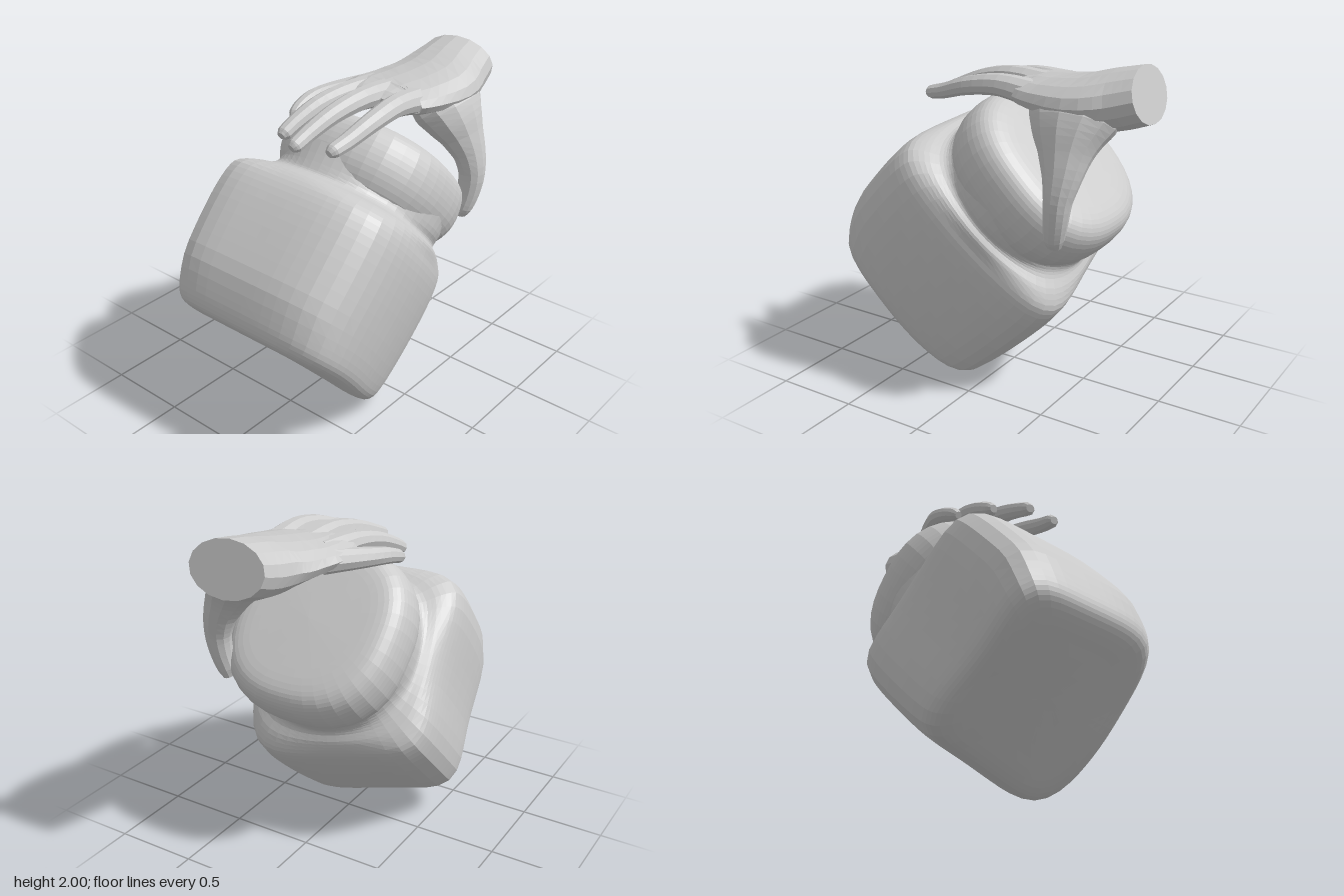
import * as THREE from 'three';

const material = new THREE.MeshStandardMaterial({ color: 0xcccccc, flatShading: true });
const { smoothstep, lerp, degToRad } = THREE.MathUtils;

function addMesh(parent, name, geometry) {
  const mesh = new THREE.Mesh(geometry, material);
  mesh.name = name;
  parent.add(mesh);
  return mesh;
}

// Closed loft through elliptical rings [x, y, z, halfWidth, halfHeight]
function loft(rings, sideHint, sides = 12, steps = 3) {
  const centres = new THREE.CatmullRomCurve3(rings.map(r => new THREE.Vector3(r[0], r[1], r[2])));
  const sizes = new THREE.CatmullRomCurve3(rings.map(r => new THREE.Vector3(r[3], r[4], 0)));
  const count = (rings.length - 1) * steps;
  const pos = [], index = [];
  for (let i = 0; i <= count; i++) {
    const c = centres.getPoint(i / count), s = sizes.getPoint(i / count);
    const tan = centres.getTangent(i / count);
    const side = sideHint.clone().addScaledVector(tan, -sideHint.dot(tan)).normalize();
    const up = new THREE.Vector3().crossVectors(tan, side);
    for (let j = 0; j < sides; j++) {
      const t = (j / sides) * Math.PI * 2;
      const p = c.clone().addScaledVector(side, s.x * Math.cos(t)).addScaledVector(up, s.y * Math.sin(t));
      pos.push(p.x, p.y, p.z);
    }
  }
  for (let i = 0; i < count; i++) {
    for (let j = 0; j < sides; j++) {
      const k = (j + 1) % sides;
      const a = i * sides + j, b = i * sides + k;
      index.push(a, b, a + sides, b, b + sides, a + sides);
    }
  }
  // End caps
  const first = rings[0], last = rings[rings.length - 1];
  const c0 = pos.length / 3;
  pos.push(first[0], first[1], first[2], last[0], last[1], last[2]);
  for (let j = 0; j < sides; j++) {
    const k = (j + 1) % sides;
    index.push(c0, k, j, c0 + 1, count * sides + j, count * sides + k);
  }
  const geometry = new THREE.BufferGeometry();
  geometry.setAttribute('position', new THREE.Float32BufferAttribute(pos, 3));
  geometry.setIndex(index);
  geometry.computeVertexNormals();
  return geometry;
}

// Radius factor that turns a circle into a rounded square
function squared(t, n) {
  return Math.pow(Math.abs(Math.cos(t)) ** n + Math.abs(Math.sin(t)) ** n, -1 / n);
}

// Smooth turned shape from a few profile points, with every vertex moved by a rule
function turned(profile, divisions, segments, rule) {
  const curve = new THREE.SplineCurve(profile.map(p => new THREE.Vector2(...p)));
  const points = curve.getPoints(divisions).map(p => new THREE.Vector2(Math.max(0, p.x), p.y));
  const geometry = new THREE.LatheGeometry(points, segments);
  const p = geometry.attributes.position;
  for (let i = 0; i < p.count; i++) p.setXYZ(i, ...rule(p.getX(i), p.getY(i), p.getZ(i)));
  geometry.computeVertexNormals();
  return geometry;
}

// Soft box: twisted on its lower side, bulging above, base slanted, neck filled out towards the front
function jarRule(x, y, z) {
  const angle = Math.atan2(z, x);
  const neck = smoothstep(y, 0.72, 0.9);
  const f = lerp(squared(angle + degToRad(9 + 7 * Math.cos(angle)), 5), 1.02, neck);
  const bulge = x < 0 ? 1 + 0.15 * smoothstep(y, -0.16, 0.2) : 1;
  const fill = z > 0 ? 1 + 0.13 * neck : 1;
  const slant = 0.1 * z * smoothstep(x, -0.3, 0.5) * (1 - smoothstep(y, -0.1, 0.7));
  return [x * f * bulge, y - slant, z * f * fill];
}

function lidRule(x, y, z) {
  const f = squared(Math.atan2(z, x), 2.5);
  return [x * f, y, z * f];
}

export function createModel() {
  const model = new THREE.Group();
  model.name = 'handOnJar';

  // Tilted jar: square body and round lid on one axis
  const jar = new THREE.Group();
  jar.name = 'jar';
  jar.position.set(-0.5, 0.5, 0);
  jar.rotation.z = -Math.PI / 4;
  model.add(jar);
  addMesh(jar, 'jarBody', turned([
    [0, -0.13], [0.3, -0.13], [0.47, -0.125], [0.545, -0.085], [0.575, 0.03], [0.595, 0.3],
    [0.6, 0.56], [0.585, 0.71], [0.545, 0.79], [0.49, 0.83], [0.48, 0.88], [0.49, 1.02],
  ], 40, 56, jarRule));
  const lid = addMesh(jar, 'lid', turned([
    [0, 0.83], [0.4, 0.83], [0.48, 0.87], [0.53, 0.97], [0.54, 1.08],
    [0.52, 1.18], [0.475, 1.235], [0.4, 1.26], [0.25, 1.268], [0, 1.275],
  ], 28, 40, lidRule));
  lid.position.set(-0.025, 0, 0.03);

  // Hand reaching over the lid from the left
  const hand = new THREE.Group();
  hand.name = 'hand';
  model.add(hand);
  const across = new THREE.Vector3(0, 0, 1);

  addMesh(hand, 'palm', loft([
    [0.93, 1.845, 0.155, 0.23, 0.157],
    [0.78, 1.805, 0.165, 0.26, 0.165],
    [0.6, 1.785, 0.175, 0.3, 0.14],
    [0.42, 1.785, 0.135, 0.305, 0.11],
    [0.27, 1.79, 0.09, 0.29, 0.088],
    [0.17, 1.795, 0.1, 0.23, 0.065],
    [0.12, 1.795, 0.11, 0.16, 0.035],
  ], across, 16));

  // Thumb flares out of the palm and hangs down in front of the lid
  addMesh(hand, 'thumb', loft([
    [0.57, 1.78, 0.26, 0.27, 0.13],
    [0.575, 1.7, 0.32, 0.265, 0.165],
    [0.58, 1.62, 0.375, 0.215, 0.15],
    [0.59, 1.53, 0.425, 0.155, 0.12],
    [0.6, 1.42, 0.475, 0.11, 0.095],
    [0.595, 1.3, 0.505, 0.078, 0.08],
    [0.58, 1.18, 0.5, 0.068, 0.07],
    [0.56, 1.08, 0.48, 0.06, 0.06],
    [0.553, 1.03, 0.465, 0.045, 0.04],
  ], new THREE.Vector3(1, 0, 0)));

  // Four fingers, each as a path from knuckle to tip
  const fingers = {
    indexFinger: [[0.32, 1.79, 0.28], [0.1, 1.82, 0.29], [-0.12, 1.79, 0.29], [-0.3, 1.735, 0.27], [-0.39, 1.715, 0.26], [-0.42, 1.705, 0.255]],
    middleFinger: [[0.32, 1.8, 0.1], [0.06, 1.825, 0.085], [-0.16, 1.79, 0.055], [-0.34, 1.725, 0.03], [-0.43, 1.69, 0.025], [-0.455, 1.68, 0.02]],
    ringFinger: [[0.34, 1.79, -0.03], [0.1, 1.8, -0.08], [-0.08, 1.77, -0.125], [-0.23, 1.71, -0.155], [-0.31, 1.67, -0.165], [-0.335, 1.66, -0.165]],
    littleFinger: [[0.4, 1.775, -0.08], [0.2, 1.76, -0.21], [0.07, 1.745, -0.27], [-0.04, 1.715, -0.28], [-0.1, 1.69, -0.27], [-0.125, 1.675, -0.265]],
  };
  const widths = [0.09, 0.072, 0.061, 0.052, 0.046, 0.027];
  for (const [name, path] of Object.entries(fingers)) {
    const scale = name === 'littleFinger' ? 0.92 : 1;
    addMesh(hand, name, loft(path.map((p, i) =>
      [...p, widths[i] * scale, widths[i] * scale * 0.88]), across, 10));
  }

  return model;
}
